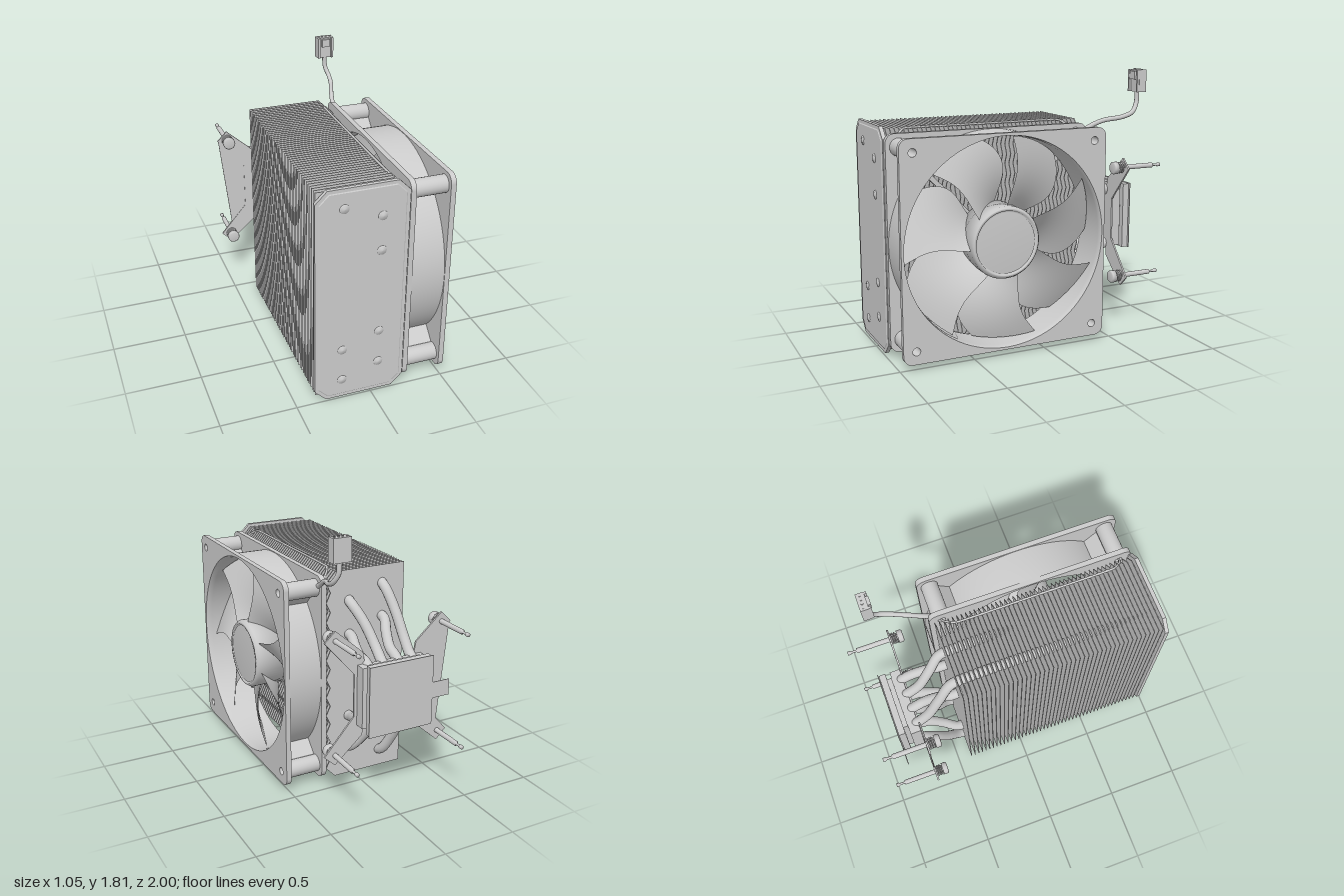
import * as THREE from 'three';

const mat = new THREE.MeshStandardMaterial({ color: 0xcccccc });
const thin = new THREE.MeshStandardMaterial({ color: 0xcccccc, side: THREE.DoubleSide });
const MID = 0.747; // height of the mirror plane

function add(parent, name, geo, x = 0, y = 0, z = 0, material = mat) {
  const m = new THREE.Mesh(geo, material);
  m.name = name;
  m.position.set(x, y, z);
  parent.add(m);
  return m;
}
const box = (x0, x1, y0, y1, z0, z1) =>
  new THREE.BoxGeometry(x1 - x0, y1 - y0, z1 - z0).translate((x0 + x1) / 2, (y0 + y1) / 2, (z0 + z1) / 2);
const polygon = pts => new THREE.Shape(pts.map(p => new THREE.Vector2(...p)));
const slab = (shape, depth, extra = {}) =>
  new THREE.ExtrudeGeometry(shape, { depth, bevelEnabled: false, curveSegments: 48, ...extra });
const circlePath = (x, y, r) => new THREE.Path().absarc(x, y, r, 0, Math.PI * 2, true);
const tube = (pts, r, n = 60, sides = 14) =>
  new THREE.TubeGeometry(new THREE.CatmullRomCurve3(pts.map(p => new THREE.Vector3(...p)), false, 'centripetal'), n, r, sides);
// Turned part whose axis runs along z; profile points are [radius, z]
const turned = (profile, n = 24) =>
  new THREE.LatheGeometry(profile.map(p => new THREE.Vector2(...p)), n).rotateX(Math.PI / 2);

function finStack() {
  const g = new THREE.Group();
  g.name = 'finStack';
  // Fin outline with a zigzag edge towards the fan
  const pts = [[-0.36, 0.02], [0.15, 0.02], [0.215, 0.09]];
  const step = 0.131;
  for (let y = 0.09 + step / 2; y < 1.4; y += step) pts.push([0.185, y], [0.215, y + step / 2]);
  pts.push([0.15, 1.472], [-0.36, 1.472]);
  const fin = slab(polygon(pts), 0.005);
  const count = 46;
  for (let i = 0; i < count; i++) add(g, 'fin', fin, 0, 0, -0.403 + i * 1.345 / (count - 1));
  // Chamfered front cover with a raised panel
  const cover = (d, c) => polygon([
    [-0.375 + d + c, d], [0.225 - d - c, d], [0.225 - d, d + c], [0.225 - d, 1.49 - d - c],
    [0.225 - d - c, 1.49 - d], [-0.375 + d + c, 1.49 - d], [-0.375 + d, 1.49 - d - c], [-0.375 + d, d + c]]);
  add(g, 'frontCover', slab(cover(0, 0.075), 0.026), 0, 0, 0.96);
  add(g, 'coverPanel', slab(cover(0.028, 0.059), 0.003,
    { bevelEnabled: true, bevelThickness: 0.004, bevelSize: 0.006, bevelSegments: 1 }), 0, 0, 0.983);
  return g;
}

function heatPipes() {
  const g = new THREE.Group();
  g.name = 'heatPipes';
  const tip = turned([[0.032, 0.984], [0.03, 0.993], [0.018, 0.993], [0.015, 0.998], [0, 1]], 20);
  // [x in the fins, height in the fins, x in the base]
  for (const [x, y, bx] of [[-0.195, 1.36, -0.235], [-0.195, 1.13, -0.13], [0.05, 1.275, -0.02], [0.05, 1.04, 0.09]]) {
    const up = y - 0.93;
    const half = [
      [x, y, 0.97], [x, y, 0.3], [x, y, -0.36], [x, y - up * 0.07, -0.44],
      [x + (bx - x) * 0.6, 0.93 + up * 0.62, -0.53], [bx, 0.94 + up * 0.22, -0.62],
      [bx, 0.95, -0.69], [bx, 0.92, -0.73], [bx, 0.86, -0.738]];
    const lower = half.map(p => [p[0], 2 * MID - p[1], p[2]]).reverse();
    add(g, 'heatPipe', tube([...half, ...lower], 0.034, 160));
    add(g, 'pipeTip', tip, x, 2 * MID - y, 0, thin);
    if (y !== 1.13) add(g, 'pipeTip', tip, x, y, 0, thin);
  }
  return g;
}

function mount() {
  const g = new THREE.Group();
  g.name = 'mount';
  add(g, 'baseBlock', box(-0.305, 0.16, 0.54, 0.95, -0.78, -0.71));
  add(g, 'baseNeck', box(-0.25, 0.11, 0.525, 0.97, -0.815, -0.78));
  add(g, 'contactPlate', box(-0.295, 0.15, 0.515, 0.98, -0.857, -0.812));
  add(g, 'protectiveFilm', box(-0.305, 0.16, 0.51, 0.985, -0.865, -0.861));
  add(g, 'filmTab', box(-0.43, -0.3, 0.69, 0.8, -0.865, -0.861));
  // Bracket arms reaching out to the four screws, with a sheet closing the right side
  const arms = polygon([
    [-0.46, 1.2], [-0.53, 1.13], [-0.34, 0.91], [-0.34, 0.58], [-0.53, 0.36], [-0.46, 0.29], [-0.27, 0.46], [-0.25, 0.57], [0.1, 0.57],
    [0.12, 0.46], [0.315, 0.29], [0.39, 0.36], [0.18, 0.6], [0.18, 0.89], [0.39, 1.13], [0.315, 1.2], [0.12, 1.03],
    [0.1, 0.92], [-0.25, 0.92], [-0.27, 1.03]].reverse());
  add(g, 'bracketArms', slab(arms, 0.012), 0, 0, -0.709);
  const sheet = polygon([[-0.32, 0.58], [-0.32, 0.91], [-0.525, 1.13], [-0.45, 0.44]]);
  add(g, 'bracketSheet', slab(sheet, 0.006), 0, 0, -0.706);
  const helix = [];
  for (let i = 0; i <= 36; i++) {
    const a = i / 36 * Math.PI * 6;
    helix.push([Math.cos(a) * 0.034, Math.sin(a) * 0.034, -0.697 + i / 36 * 0.045]);
  }
  const spring = tube(helix, 0.006, 100, 6);
  const screw = turned([[0, -1], [0.013, -1], [0.013, -0.98], [0.008, -0.975], [0.008, -0.94], [0.017, -0.935],
    [0.017, -0.65], [0.043, -0.65], [0.043, -0.62], [0.036, -0.612], [0, -0.612]]);
  for (const x of [-0.46, 0.315]) for (const y of [1.135, 0.36]) {
    add(g, 'screw', screw, x, y, 0, thin);
    add(g, 'spring', spring, x, y, 0);
  }
  return g;
}

function fan() {
  // Built facing +z, then turned so that it faces +x
  const g = new THREE.Group();
  g.name = 'fan';
  const s = 0.707, r = 0.06, o = 0.622;
  const frame = new THREE.Shape();
  frame.absarc(s - r, s - r, r, 0, Math.PI / 2);
  frame.absarc(r - s, s - r, r, Math.PI / 2, Math.PI);
  frame.absarc(r - s, r - s, r, Math.PI, Math.PI * 1.5);
  frame.absarc(s - r, r - s, r, Math.PI * 1.5, Math.PI * 2);
  frame.holes.push(circlePath(0, 0, 0.69));
  const post = turned([[0.026, 0.232], [0.058, 0.24], [0.058, 0.51], [0.026, 0.522], [0.026, 0.232]]);
  for (const x of [-o, o]) for (const y of [-o, o]) {
    frame.holes.push(circlePath(x, y, 0.026));
    add(g, 'cornerPost', post, x, y, 0, thin);
  }
  const flange = slab(frame, 0.035);
  add(g, 'rearFlange', flange, 0, 0, 0.23);
  add(g, 'frontFlange', flange, 0, 0, 0.49);
  add(g, 'duct', turned([[0.69, 0.232], [0.703, 0.24], [0.703, 0.51], [0.69, 0.523], [0.684, 0.48], [0.684, 0.27], [0.69, 0.232]], 96), 0, 0, 0, thin);
  add(g, 'hub', turned([[0, 0.27], [0.235, 0.27], [0.238, 0.49], [0.225, 0.51], [0.21, 0.512], [0.205, 0.495], [0.2, 0.508], [0, 0.508]], 64), 0, 0, 0, thin);
  add(g, 'motorMount', new THREE.CylinderGeometry(0.22, 0.22, 0.035, 48).rotateX(Math.PI / 2), 0, 0, 0.25);
  // Struts behind the blades, and webs from the duct out to the corner posts
  for (let i = 0; i < 4; i++) {
    const angle = Math.PI / 4 + i * Math.PI / 2;
    add(g, 'strut', box(0.2, 0.69, -0.016, 0.016, 0.235, 0.262)).rotation.z = angle;
    add(g, 'cornerWeb', box(0.695, 0.83, -0.012, 0.012, 0.26, 0.495)).rotation.z = angle;
  }
  // Blade: swept edges, pitched more steeply at the hub, narrowing at the tip
  const blade = new THREE.PlaneGeometry(1, 1, 16, 16);
  const p = blade.attributes.position;
  const deg = Math.PI / 180;
  for (let i = 0; i < p.count; i++) {
    const t = p.getX(i) + 0.5, v = p.getY(i); // t: hub to tip, v: across
    const rad = 0.225 + t * 0.453;
    const span = (51 - 17 * t * t * t) * deg;
    const a = (9.7 - 10 * Math.sin(Math.PI * t) + 6 * t) * deg + v * span;
    const pitch = 0.19 - 0.05 * t;
    p.setXYZ(i, rad * Math.cos(a), rad * Math.sin(a), 0.385 + v * pitch + 0.03 * (v * v - 0.25));
  }
  blade.computeVertexNormals();
  for (let i = 0; i < 7; i++) add(g, 'blade', blade, 0, 0, 0, thin).rotation.z = i * Math.PI * 2 / 7;
  g.rotation.y = Math.PI / 2;
  g.position.set(0, MID, 0.275);
  return g;
}

function wires() {
  const g = new THREE.Group();
  g.name = 'wires';
  // Spring clips that hold the fan, following the fin edges above and below
  const clip = [[0.25, 0.615, -0.35], [0.225, 0.64, -0.35], [0.19, 0.68, -0.335], [0.145, 0.721, -0.28], [0.14, 0.724, -0.2],
    [0.14, 0.724, 0.3], [0.14, 0.724, 0.75], [0.145, 0.721, 0.82], [0.19, 0.68, 0.88], [0.225, 0.64, 0.895], [0.25, 0.615, 0.895]];
  for (const side of [1, -1]) {
    add(g, 'fanClip', tube(clip.map(([x, y, z]) => [x, MID + side * y, z]), 0.008, 90, 8));
  }
  add(g, 'fanCable', tube([[0.27, 1.38, -0.38], [0.27, 1.42, -0.44], [0.295, 1.465, -0.54], [0.34, 1.49, -0.67],
    [0.35, 1.52, -0.74], [0.335, 1.58, -0.78], [0.33, 1.67, -0.785]], 0.016, 60, 10));
  // Plug
  add(g, 'plug', box(0.27, 0.39, 1.655, 1.805, -0.82, -0.765));
  add(g, 'plugLatch', box(0.3, 0.36, 1.74, 1.795, -0.765, -0.745));
  for (const x of [0.272, 0.373]) add(g, 'plugRail', box(x, x + 0.015, 1.655, 1.805, -0.768, -0.75));
  const socket = new THREE.CylinderGeometry(0.008, 0.008, 0.006, 10);
  for (let i = 0; i < 4; i++) add(g, 'plugContact', socket, 0.288 + i * 0.028, 1.806, -0.795);
  return g;
}

export function createModel() {
  const model = new THREE.Group();
  model.name = 'towerCooler';
  model.add(finStack(), heatPipes(), mount(), fan(), wires());
  return model;
}
